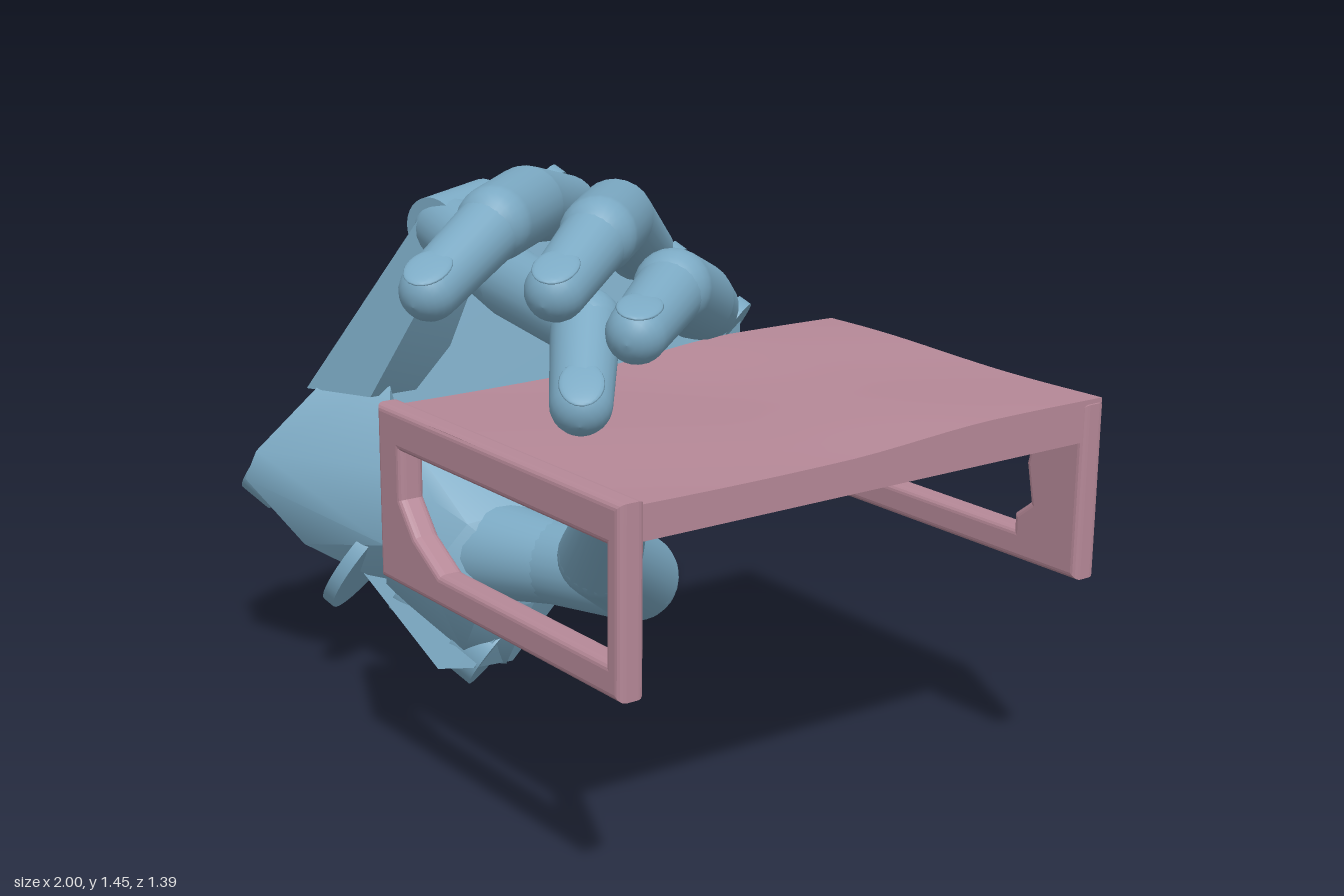
import * as THREE from 'three';
import { ConvexGeometry } from 'three/addons/geometries/ConvexGeometry.js';
import { toCreasedNormals } from 'three/addons/utils/BufferGeometryUtils.js';

const V = (x, y, z) => new THREE.Vector3(x, y, z);
const UP = V(0, 1, 0);
const blue = new THREE.MeshStandardMaterial({ color: 0x7ba9c3 });
const pink = new THREE.MeshStandardMaterial({ color: 0xb58897 });

function add(parent, name, geometry, material = blue) {
  const mesh = new THREE.Mesh(geometry, material);
  mesh.name = name;
  parent.add(mesh);
  return mesh;
}

// Faceted solid wrapped around points, with shallow edges smoothed
const hull = (parent, name, points) =>
  add(parent, name, toCreasedNormals(new ConvexGeometry(points), 0.65));

// Tapered limb with rounded ends, running from a to b
function limb(parent, name, a, b, r0, r1) {
  const length = a.distanceTo(b);
  const profile = [];
  for (let i = 0; i <= 6; i++) {
    const t = -Math.PI / 2 + (i / 6) * (Math.PI / 2);
    profile.push(new THREE.Vector2(Math.cos(t) * r0, Math.sin(t) * r0));
  }
  for (let i = 0; i <= 6; i++) {
    const t = (i / 6) * (Math.PI / 2);
    profile.push(new THREE.Vector2(Math.cos(t) * r1, length + Math.sin(t) * r1));
  }
  profile[0].x = profile[13].x = 0;
  const mesh = add(parent, name, new THREE.LatheGeometry(profile, 24));
  mesh.position.copy(a);
  mesh.quaternion.setFromUnitVectors(UP, b.clone().sub(a).normalize());
  return mesh;
}

// Cylinder centred on a point along an axis
function drum(parent, name, centre, axis, radius, width) {
  const mesh = add(parent, name, new THREE.CylinderGeometry(radius, radius, width, 32));
  mesh.position.copy(centre);
  mesh.quaternion.setFromUnitVectors(UP, axis.clone().normalize());
  return mesh;
}

// Jointed digit; radii holds a start and end radius per segment, a nail sits on the last
function digit(parent, name, points, radii, nailSide) {
  const group = new THREE.Group();
  group.name = name;
  parent.add(group);
  const p = points.map((q) => V(...q));
  radii.forEach(([r0, r1], i) => limb(group, 'segment', p[i], p[i + 1], r0, r1));
  const tip = p[p.length - 1], dir = tip.clone().sub(p[p.length - 2]).normalize();
  const out = nailSide.clone().addScaledVector(dir, -nailSide.dot(dir)).normalize();
  const side = new THREE.Vector3().crossVectors(dir, out);
  const nail = add(group, 'nail', new THREE.SphereGeometry(1, 20, 12));
  const r = radii[radii.length - 1][1];
  nail.quaternion.setFromRotationMatrix(new THREE.Matrix4().makeBasis(side, dir, out));
  nail.scale.set(r * 0.72, r * 0.95, r * 0.15);
  nail.position.copy(tip).addScaledVector(out, r * 0.9);
  return group;
}

// Point on the flat back of the hand, or lifted from it toward the palm
const backNormal = V(-0.667, -0.2, -0.72);
const onBack = (x, y, lift = 0) =>
  V(x, y, -0.285 - 0.926 * x - 0.278 * y).addScaledVector(backNormal, -lift);

function buildHand() {
  const hand = new THREE.Group();
  hand.name = 'hand';

  // Palm plate, its inner face set in from the edge
  const outline = [[-0.09, 1.0], [-0.07, 0.88], [-0.5, 1.25], [-0.65, 0.85], [-0.88, 0.48], [-0.45, 0.04], [-0.38, 0.05]];
  hull(hand, 'palmPlate', outline.flatMap(([x, y]) => [
    onBack(x, y), x < -0.48 ? onBack(x, y, 0.07) : onBack(x - 0.05, y, 0.15)]));

  // Outer palm bone that carries the little finger
  hull(hand, 'outerPalm', [
    V(-0.51, 1.32, 0.04), V(-0.43, 1.29, 0.27), V(-0.38, 1.17, 0.24), V(-0.55, 1.24, -0.03),
    V(-0.87, 0.82, 0.17), V(-0.75, 0.79, 0.45), V(-0.57, 0.79, 0.36), V(-0.67, 0.76, 0.05)]);

  // Heel of the palm and thumb mound
  hull(hand, 'palmHeel', [
    V(-0.87, 0.83, 0.18), V(-0.98, 0.54, 0.42), V(-0.9, 0.46, 0.42), V(-0.79, 0.56, 0.62),
    V(-0.76, 0.64, 0.6), V(-0.72, 0.8, 0.43), V(-0.57, 0.81, 0.3), V(-0.46, 0.62, 0.37),
    V(-0.46, 0.42, 0.39), V(-0.7, 0.38, 0.5), V(-0.62, 0.3, 0.34), V(-0.5, 0.16, 0.16)]);
  hull(hand, 'thumbMound', [
    V(-0.5, 0.7, 0.3), V(-0.44, 0.52, 0.37), V(-0.36, 0.55, 0.3), V(-0.28, 0.5, 0.25),
    V(-0.24, 0.53, 0.02), V(-0.2, 0.4, 0.16), V(-0.2, 0.28, 0.1), V(-0.24, 0.26, 0.25),
    V(-0.34, 0.36, 0.34), V(-0.36, 0.12, 0.22), V(-0.37, 0.05, 0.08), V(-0.45, 0.06, 0.18),
    V(-0.55, 0.28, 0.34), V(-0.4, 0.58, 0.0)]);

  // Wrist hinge: four knobs and a thin disc on one axis
  const w0 = V(-0.42, 0.12, 0.12), w1 = V(-0.91, 0.53, 0.46);
  const wristAxis = w1.clone().sub(w0);
  [[0, 0.12, 0.1], [0.28, 0.1, 0.09], [0.72, 0.1, 0.08], [1, 0.1, 0.09]].forEach(([t, r, w]) =>
    drum(hand, 'wristKnob', w0.clone().lerp(w1, t), wristAxis, r, w));
  drum(hand, 'wristDisc', V(-0.66, 0.34, 0.315), wristAxis, 0.185, 0.035);

  // Fingers
  const fingers = [
    ['indexFinger', [[-0.13, 1.01, -0.4], [0.21, 1.13, -0.1], [0.44, 1.23, 0.14], [0.58, 1.18, 0.34]]],
    ['middleFinger', [[-0.29, 1.14, -0.31], [0.06, 1.32, 0.03], [0.32, 1.345, 0.26], [0.43, 1.26, 0.45]]],
    ['ringFinger', [[-0.46, 1.25, -0.18], [-0.1, 1.345, 0.18], [0.09, 1.35, 0.39], [0.19, 1.24, 0.625]]],
    ['littleFinger', [[-0.43, 1.24, 0.2], [0, 1.18, 0.28], [0.37, 1.16, 0.33], [0.54, 1.03, 0.46]]],
  ];
  const radii = [[0.085, 0.094], [0.094, 0.09], [0.082, 0.07]];
  const littleRadii = [[0.085, 0.085], [0.085, 0.082], [0.08, 0.07]];
  fingers.forEach(([name, points], i) =>
    digit(hand, name, points, i < 3 ? radii : littleRadii, V(0.35, 1, 0.2)));

  // Knuckle forks: a pair of lugs either side of each finger root
  const row = V(-0.35, 0.27, 0.25).normalize();
  fingers.slice(0, 3).forEach(([, points]) => [-1, 1].forEach((s) =>
    drum(hand, 'knuckleLug', V(...points[0]).addScaledVector(row, s * 0.07), row, 0.075, 0.035)));
  drum(hand, 'littleKnuckle', V(-0.45, 1.25, 0.15), V(0.08, -0.02, 0.23), 0.085, 0.22);

  // Thumb
  digit(hand, 'thumb',
    [[-0.4, 0.4, 0.17], [-0.12, 0.41, 0.08], [0.13, 0.43, 0.02], [0.34, 0.59, 0.27], [0.54, 0.78, 0.365]],
    [[0.14, 0.11], [0.11, 0.112], [0.112, 0.1], [0.1, 0.075]], V(1, -0.3, 0.2));
  return hand;
}

function buildTable() {
  const table = new THREE.Group();
  table.name = 'table';

  // Slightly uneven top, rising toward the back
  const top = new THREE.BoxGeometry(0.95, 0.08, 1.36, 16, 1, 20);
  const pos = top.attributes.position;
  for (let i = 0; i < pos.count; i++) {
    if (pos.getY(i) < 0) continue;
    const x = pos.getX(i), z = pos.getZ(i);
    const back = THREE.MathUtils.smoothstep(-z, -0.1, 0.35);
    pos.setY(i, 0.04 + back * (0.022 - 0.012 * x) + 0.004 * Math.sin(7 * x + 4 * z));
  }
  top.computeVertexNormals();
  add(table, 'tableTop', top, pink).position.set(0.51, 0.908, -0.005);

  // End frames with irregular openings
  const frame = (name, hole, z) => {
    const shape = new THREE.Shape([[0.045, 0.55], [0.975, 0.55], [0.975, 0.94], [0.045, 0.94]]
      .map((p) => new THREE.Vector2(...p)));
    shape.holes.push(new THREE.Path(hole.map((p) => new THREE.Vector2(...p))));
    const geometry = new THREE.ExtrudeGeometry(shape, {
      depth: 0.03, bevelEnabled: true, bevelSize: 0.016, bevelThickness: 0.018, bevelSegments: 4 });
    add(table, name, geometry, pink).position.z = z;
  };
  frame('frontFrame', [[0.115, 0.875], [0.115, 0.74], [0.18, 0.66], [0.29, 0.595], [0.955, 0.595], [0.955, 0.875]], 0.632);
  frame('backFrame', [[0.115, 0.875], [0.115, 0.64], [0.16, 0.595], [0.8, 0.595], [0.8, 0.64], [0.85, 0.68], [0.83, 0.78], [0.85, 0.875]], -0.672);
  return table;
}

export function createModel() {
  const model = new THREE.Group();
  model.name = 'handHoldingTable';
  model.add(buildHand(), buildTable());
  return model;
}
